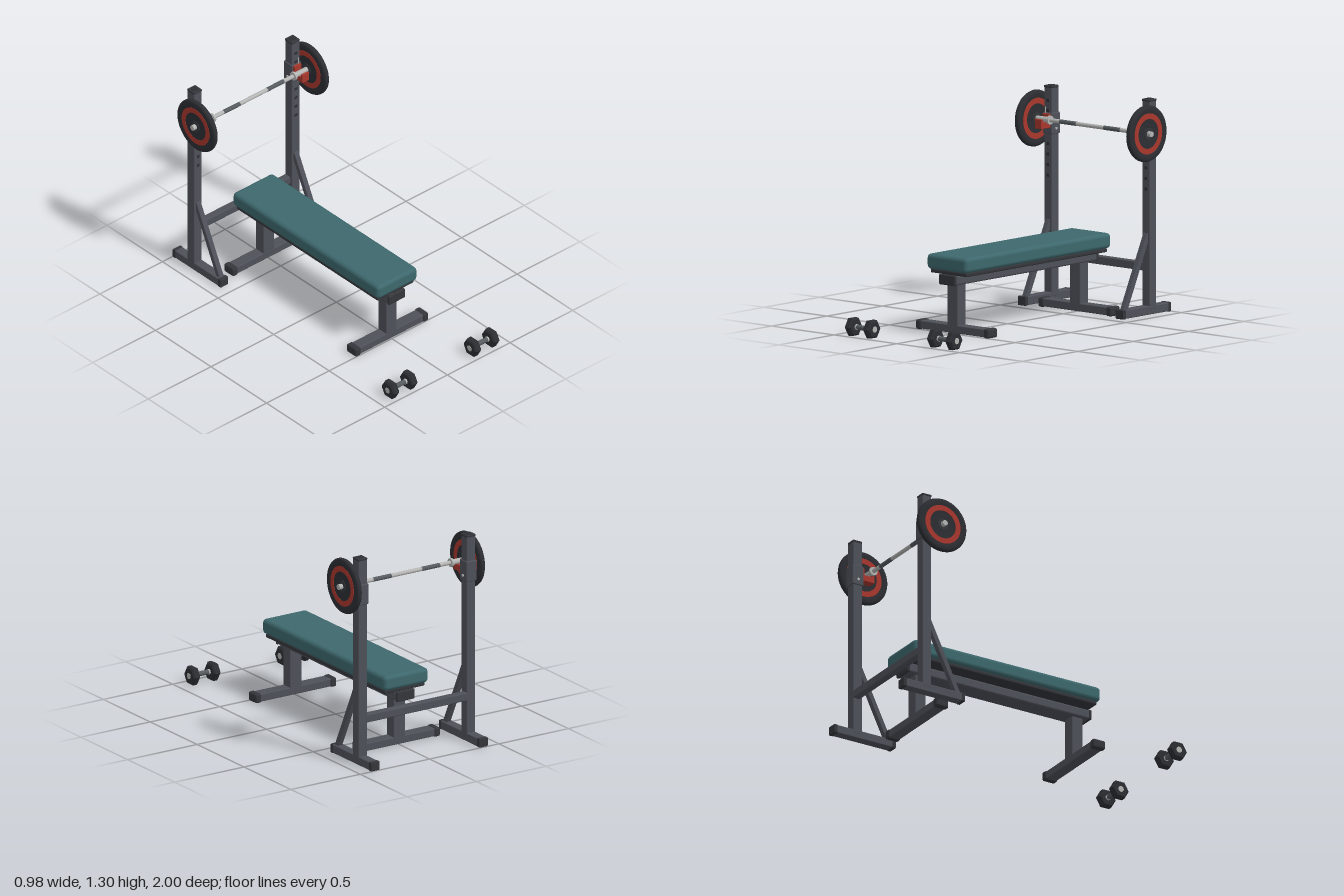
import * as THREE from 'three';
import { toCreasedNormals } from 'three/addons/utils/BufferGeometryUtils.js';
import { RoundedBoxGeometry } from 'three/addons/geometries/RoundedBoxGeometry.js';

const mat = (name, color) => Object.assign(new THREE.MeshStandardMaterial({ color }), { name });

export function createModel() {
  const frame = mat('frame grey', 0x4e5159);
  const rubber = mat('rubber black', 0x2c2e33);
  const dark = mat('dark trim', 0x34363b);
  const teal = mat('teal upholstery', 0x3d686d);
  const red = mat('red', 0xa8372d);
  const steel = mat('steel', 0xb4b5b3);
  const knurl = mat('knurled steel', 0x565b60);

  const model = new THREE.Group();
  model.name = 'benchPressSet';

  const add = (parent, name, geometry, material, x = 0, y = 0, z = 0) => {
    const mesh = new THREE.Mesh(geometry, material);
    mesh.name = name;
    mesh.position.set(x, y, z);
    parent.add(mesh);
    return mesh;
  };
  const group = (name, x = 0, y = 0, z = 0) => {
    const g = new THREE.Group();
    g.name = name;
    g.position.set(x, y, z);
    model.add(g);
    return g;
  };
  // Rounded box given by its extents along each axis
  const box = (parent, name, material, [x0, x1], [y0, y1], [z0, z1], r = 0.006) =>
    add(parent, name, new RoundedBoxGeometry(x1 - x0, y1 - y0, z1 - z0, 2, r), material,
      (x0 + x1) / 2, (y0 + y1) / 2, (z0 + z1) / 2);
  // Cylinder lying along x
  const rod = (parent, name, material, r, x0, x1, y = 0, z = 0, sides = 24) =>
    add(parent, name, new THREE.CylinderGeometry(r, r, x1 - x0, sides).rotateZ(Math.PI / 2),
      material, (x0 + x1) / 2, y, z);
  // Turned part with its axis along x, sharp edges kept
  const turned = (points) => toCreasedNormals(
    new THREE.LatheGeometry(points.map(p => new THREE.Vector2(...p)), 48).rotateZ(-Math.PI / 2), 0.6);

  // Bench
  const bench = group('bench');
  box(bench, 'pad', teal, [-0.16, 0.16], [0.383, 0.476], [-0.758, 0.556], 0.025);
  box(bench, 'padBoard', dark, [-0.145, 0.145], [0.36, 0.385], [-0.735, 0.535], 0.008);
  box(bench, 'spine', frame, [-0.063, 0.063], [0.3, 0.36], [-0.74, 0.54], 0.012);
  for (const z of [-0.74, 0.54])
    box(bench, 'spineCap', dark, [-0.065, 0.065], [0.298, 0.362], [z - 0.01, z + 0.01], 0.008);
  for (const z of [-0.643, 0.462]) {
    box(bench, 'leg', frame, [-0.042, 0.042], [0.045, 0.305], [z - 0.037, z + 0.037]);
    box(bench, 'crossFoot', frame, [-0.27, 0.27], [0.004, 0.053], [z - 0.037, z + 0.037]);
    for (const s of [-1, 1])
      add(bench, 'footCap', new RoundedBoxGeometry(0.042, 0.057, 0.087, 3, 0.012), dark,
        s * 0.27, 0.0285, z);
  }

  // Rack
  const rack = group('rack');
  box(rack, 'crossBeam', frame, [-0.365, 0.365], [0.26, 0.31], [-0.867, -0.819]);
  for (const s of [-1, 1]) {
    const side = group(s > 0 ? 'leftStand' : 'rightStand', s * 0.39);
    box(side, 'upright', frame, [-0.031, 0.031], [0.03, 1.295], [-0.866, -0.804]);
    box(side, 'uprightCap', dark, [-0.033, 0.033], [1.288, 1.303], [-0.868, -0.802]);
    add(side, 'capButton', new THREE.CylinderGeometry(0.022, 0.022, 0.004, 20), rubber,
      0, 1.303, -0.835);
    box(side, 'foot', frame, [-0.03, 0.03], [0.002, 0.055], [-0.99, -0.575]);
    for (const z of [-0.987, -0.578])
      box(side, 'footCap', dark, [-0.032, 0.032], [0, 0.057], [z - 0.013, z + 0.013]);

    // Slanted brace from foot to upright
    const low = new THREE.Vector3(0, 0.05, -0.605), high = new THREE.Vector3(0, 0.48, -0.81);
    const brace = add(side, 'brace',
      new RoundedBoxGeometry(0.034, low.distanceTo(high) + 0.02, 0.032, 2, 0.004), frame);
    brace.position.copy(low).lerp(high, 0.5);
    brace.rotation.x = Math.atan2(high.z - low.z, high.y - low.y);

    // Adjustment holes
    for (const y of [0.76, 0.824, 0.888, 0.952, 1.15, 1.213])
      add(side, 'hole', new THREE.BoxGeometry(0.021, 0.018, 0.004), rubber, 0, y, -0.804);

    // Bar hook on its sliding collar
    box(side, 'hookCollar', frame, [-0.037, 0.037], [1.01, 1.14], [-0.873, -0.797]);
    box(side, 'hookBack', red, [-0.027, 0.027], [1.05, 1.135], [-0.8, -0.783], 0.004);
    box(side, 'hookShelf', red, [-0.027, 0.027], [1.05, 1.09], [-0.79, -0.718], 0.004);
    box(side, 'hookLip', red, [-0.027, 0.027], [1.05, 1.109], [-0.73, -0.714], 0.004);
    rod(side, 'lockPin', steel, 0.008, -0.043, 0.043, 1.045, -0.835, 12);
    add(side, 'hookClip', new THREE.CylinderGeometry(0.003, 0.003, 0.05, 8), steel,
      s * 0.015, 1.15, -0.797);
  }

  // Barbell
  const barbell = group('barbell', 0, 1.107, -0.748);
  rod(barbell, 'bar', steel, 0.0125, -0.33, 0.33);
  const plateShape = turned([[0.001, -0.012], [0.035, -0.012], [0.037, -0.015], [0.125, -0.015],
    [0.135, -0.018], [0.158, -0.018], [0.167, -0.013], [0.171, -0.005], [0.171, 0.005],
    [0.167, 0.013], [0.158, 0.018], [0.135, 0.018], [0.125, 0.015], [0.037, 0.015],
    [0.035, 0.012], [0.001, 0.012]]);
  const ringShape = turned([[0.09, -0.017], [0.124, -0.017], [0.124, 0.017], [0.09, 0.017],
    [0.09, -0.017]]);
  for (const s of [-1, 1]) {
    const span = (a, b) => [Math.min(s * a, s * b), Math.max(s * a, s * b)];
    rod(barbell, 'gripKnurl', knurl, 0.0132, ...span(0.11, 0.24));
    rod(barbell, 'sleeve', steel, 0.017, ...span(0.325, 0.488));
    rod(barbell, 'sleeveCollar', steel, 0.027, ...span(0.318, 0.331));
    add(barbell, 'plate', plateShape, rubber, s * 0.444);
    add(barbell, 'plateRing', ringShape, red, s * 0.444);
    rod(barbell, 'plateHub', dark, 0.037, ...span(0.426, 0.463), 0, 0, 32);
  }

  // Hexagonal dumbbells
  const profile = [[0, -0.024], [0.05, -0.024], [0.061, -0.014], [0.061, 0.014], [0.05, 0.024],
    [0, 0.024]].map(p => new THREE.Vector2(...p));
  const headShape = toCreasedNormals(
    new THREE.LatheGeometry(profile, 6).rotateZ(-Math.PI / 2), 0.1);
  for (const s of [-1, 1]) {
    const bell = group(s > 0 ? 'leftDumbbell' : 'rightDumbbell', s * 0.327, 0.054, 0.939);
    rod(bell, 'handle', knurl, 0.015, -0.06, 0.06);
    for (const e of [-1, 1]) {
      add(bell, 'head', headShape, rubber, e * 0.073);
      rod(bell, 'handleEnd', steel, 0.019, e * 0.096 - 0.003, e * 0.096 + 0.003);
      rod(bell, 'handleCollar', steel, 0.017, e * 0.045 - 0.006, e * 0.045 + 0.006);
    }
  }
  return model;
}
